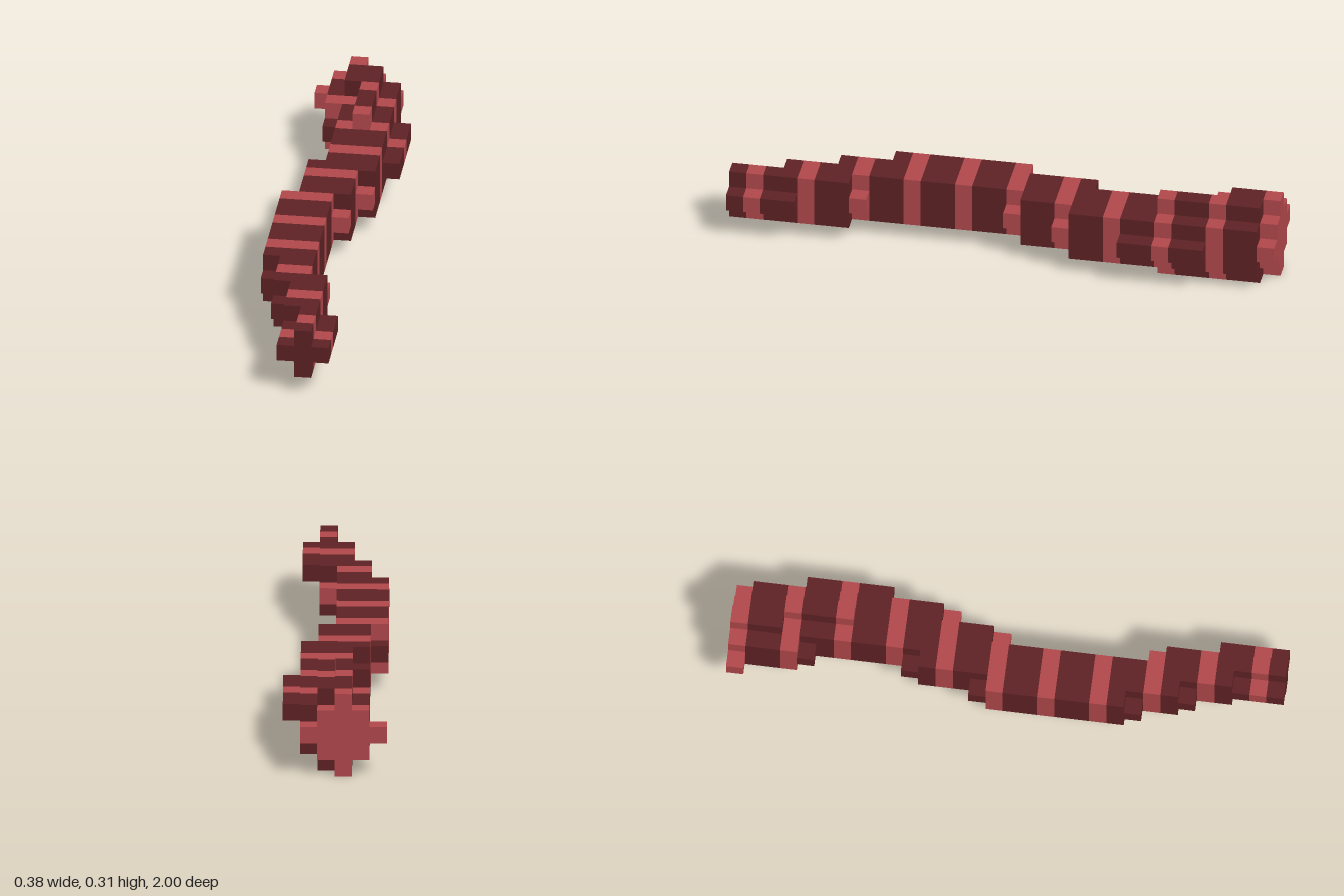
import * as THREE from 'three';

const CELL = 0.0625;

// Cross-sections from front to back: [layer count, block heights of the six columns from -x to +x]
const SECTIONS = [
  [3, '001310'], [1, '003310'], [1, '003300'], [1, '013300'], [1, '033300'],
  [1, '033100'], [1, '133000'], [7, '333000'], [1, '333100'], [1, '133300'],
  [1, '033300'], [1, '033310'], [1, '033330'], [1, '013330'], [1, '003330'],
  [2, '003331'], [2, '003531'], [1, '013531'], [1, '033530'], [2, '035530'],
  [1, '135310'],
];

// Stepped outline, symmetric above and below the body's axis
function sectionShape(columns) {
  const top = [];
  [...columns].forEach((h, i) => {
    if (h === '0') return;
    const x = (i - 3) * CELL, y = Number(h) * CELL / 2;
    top.push([x, y], [x + CELL, y]);
  });
  // drop points in the middle of a level run
  const steps = top.filter(([, y], i) =>
    !(i > 0 && i < top.length - 1 && top[i - 1][1] === y && top[i + 1][1] === y));
  const bottom = steps.map(([x, y]) => [x, -y]);
  return new THREE.Shape([...bottom, ...steps.reverse()].map(([x, y]) => new THREE.Vector2(x, y)));
}

export function createModel() {
  const darkRed = new THREE.MeshStandardMaterial({ color: 0x5f2224 });
  darkRed.name = 'darkRed';
  const lightRed = new THREE.MeshStandardMaterial({ color: 0xb3484c });
  lightRed.name = 'lightRed';

  const worm = new THREE.Group();
  worm.name = 'wormBody';

  // Every third layer is a light ring
  const layers = SECTIONS.flatMap(([count, columns]) => Array(count).fill(columns));
  const isLight = (k) => k % 3 === 1;

  // Join neighbouring layers of the same outline and colour into one slice
  for (let k = 0; k < layers.length;) {
    let end = k + 1;
    while (end < layers.length && layers[end] === layers[k] && isLight(end) === isLight(k)) end++;
    const geometry = new THREE.ExtrudeGeometry(sectionShape(layers[k]), {
      depth: (end - k) * CELL, bevelEnabled: false,
    });
    const slice = new THREE.Mesh(geometry, isLight(k) ? lightRed : darkRed);
    slice.name = isLight(k) ? 'lightRing' : 'darkSegment';
    slice.position.set(0, 2.5 * CELL, 1 - end * CELL);
    worm.add(slice);
    k = end;
  }
  return worm;
}
